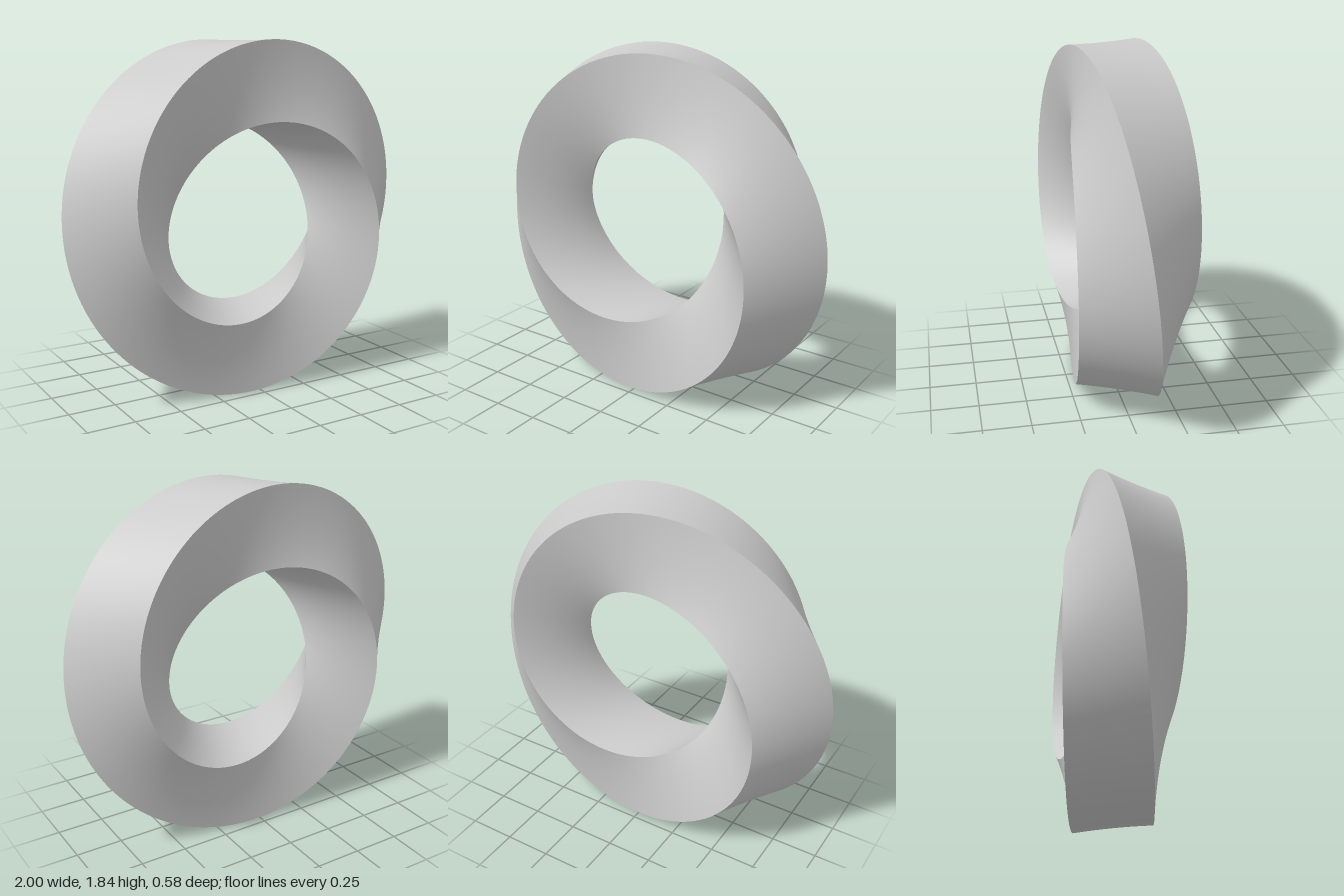
import * as THREE from 'three';
import { ParametricGeometry } from 'three/addons/geometries/ParametricGeometry.js';

const RING_RADIUS = 0.71;  // centre line of the ring
const HALF_A = 0.211;      // bar section, radial half size at the top
const HALF_B = 0.2;        // bar section, depth half size at the top
const CENTRE_Y = 0.917;

// Places section point (a, b) at angle theta from the top; the section makes half a turn per lap.
function placeOnRing(theta, a, b, target) {
  const c = Math.cos(theta / 2), s = Math.sin(theta / 2);
  const r = RING_RADIUS + a * c - b * s;
  target.set(-r * Math.sin(theta), CENTRE_Y + r * Math.cos(theta), a * s + b * c);
}

export function createModel() {
  const group = new THREE.Group();
  group.name = 'twistedRing';
  const material = new THREE.MeshStandardMaterial({ color: 0xcccccc });

  // Half a turn of twist joins opposite sides, so each band runs twice round the ring.
  const bands = {
    wideBand: v => [HALF_A * (1 - 2 * v), HALF_B],
    narrowBand: v => [HALF_A, HALF_B * (2 * v - 1)],
  };
  for (const [name, section] of Object.entries(bands)) {
    const geometry = new ParametricGeometry((u, v, target) => {
      const [a, b] = section(v);
      placeOnRing(u * Math.PI * 4, a, b, target);
    }, 400, 8);
    const mesh = new THREE.Mesh(geometry, material);
    mesh.name = name;
    group.add(mesh);
  }
  return group;
}
